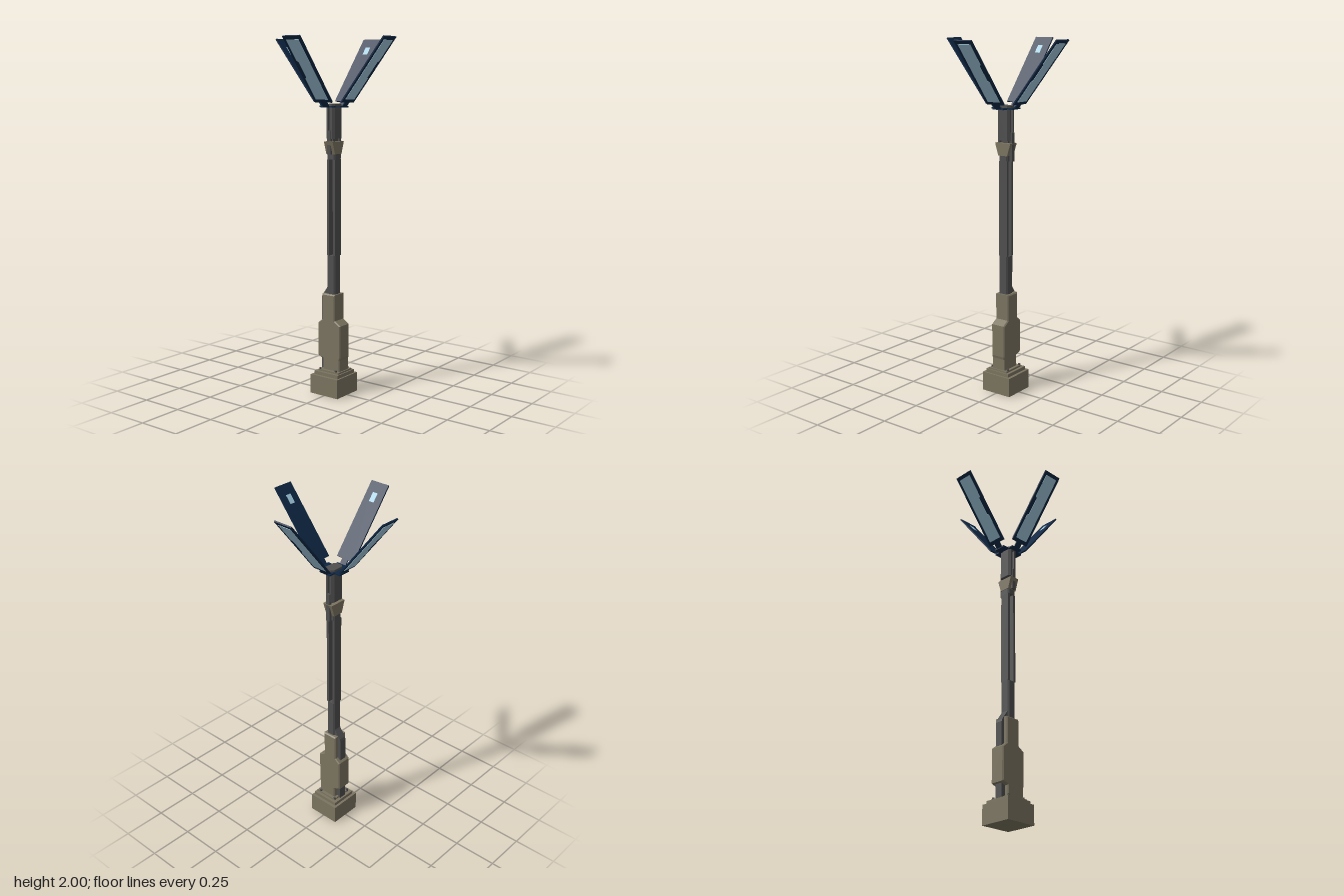
import * as THREE from 'three';

const mat = (name, color) => {
  const m = new THREE.MeshStandardMaterial({ color });
  m.name = name;
  return m;
};

export function createModel() {
  const olive = mat('olive housing', 0x7b7460);
  const grey = mat('dark grey metal', 0x4f4f4f);
  const navy = mat('navy panel', 0x0e2744);
  const glass = mat('pale blue lamp', 0xa3cde0);
  const root = new THREE.Group();
  root.name = 'lampPost';

  const add = (name, geometry, material, parent = root) => {
    const m = new THREE.Mesh(geometry, material);
    m.name = name;
    parent.add(m);
    return m;
  };
  // Box given by its minimum and maximum on each axis
  const box = (name, x0, x1, y0, y1, z0, z1, material, parent) => {
    const g = new THREE.BoxGeometry(x1 - x0, y1 - y0, z1 - z0);
    g.translate((x0 + x1) / 2, (y0 + y1) / 2, (z0 + z1) / 2);
    return add(name, g, material, parent);
  };
  const outline = pts => new THREE.Shape(pts.map(p => new THREE.Vector2(...p)));
  // Side profile in x and y, extruded along z with bevelled edges
  const slab = (name, pts, halfZ, bevel, material) => {
    const g = new THREE.ExtrudeGeometry(outline(pts), {
      depth: 2 * (halfZ - bevel), bevelEnabled: bevel > 0, bevelThickness: bevel,
      bevelSize: bevel, bevelOffset: -bevel, bevelSegments: 1
    });
    g.translate(0, 0, bevel - halfZ);
    return add(name, g, material);
  };
  // Upright chamfered column, with optional grooves in front and back
  const column = (name, x, z, c, y0, y1, groove, material) => {
    const front = [[x, z - c], [x - c, z]];
    if (groove) front.push([groove, z], [groove, z - 0.014], [-groove, z - 0.014], [-groove, z]);
    front.push([c - x, z], [-x, z - c]);
    const pts = [...front, ...front.map(([px, pz]) => [-px, -pz])];
    const g = new THREE.ExtrudeGeometry(outline(pts), { depth: y1 - y0, bevelEnabled: false });
    g.rotateX(-Math.PI / 2).translate(0, y0, 0);
    return add(name, g, material);
  };

  // Stepped base
  box('base', -0.095, 0.095, 0, 0.11, -0.095, 0.095, olive);
  box('baseStep', -0.08, 0.085, 0.11, 0.13, -0.078, 0.078, olive);
  box('bodyFoot', -0.06, 0.078, 0.13, 0.14, -0.062, 0.062, olive);
  for (const x of [-0.055, 0.055]) for (const z of [-0.055, 0.055]) {
    const bolt = add('baseBolt', new THREE.CylinderGeometry(0.007, 0.007, 0.02, 6), grey);
    bolt.position.set(x, 0.138, z);
  }

  // Housing with wide middle, and the conduit beside it
  slab('housing', [[-0.045, 0.13], [0.072, 0.13], [0.072, 0.205], [0.076, 0.22], [0.076, 0.405],
    [0.038, 0.43], [0.038, 0.58], [-0.052, 0.58], [-0.052, 0.43], [-0.082, 0.405],
    [-0.082, 0.215], [-0.045, 0.2]], 0.045, 0.006, olive);
  slab('conduit', [[-0.07, 0.11], [-0.03, 0.11], [-0.025, 0.625], [-0.03, 0.615],
    [-0.065, 0.565], [-0.07, 0.55]], 0.022, 0, grey);

  // Slotted pole
  column('lowerPole', 0.028, 0.03, 0.008, 0.56, 0.8, 0, grey);
  for (const s of [-1, 1]) {
    const [a, b] = s < 0 ? [-0.028, -0.013] : [0.013, 0.028];
    box('poleRail', a, b, 0.8, 1.34, -0.028, 0.028, grey);
  }
  column('slotHead', 0.028, 0.03, 0.008, 1.34, 1.43, 0, grey);

  // Flared collar: profile in z and y, extruded along x
  const collar = slab('collar', [[-0.03, 1.37], [0.03, 1.37], [0.052, 1.44], [-0.052, 1.44]],
    0.03, 0, olive);
  collar.rotation.y = Math.PI / 2;
  box('neck', -0.01, 0.01, 1.43, 1.46, -0.022, 0.022, grey);
  box('backBracket', -0.012, 0.012, 1.34, 1.5, -0.05, -0.034, grey);
  box('frontBracket', -0.012, 0.012, 1.37, 1.5, 0.034, 0.046, grey);

  // Upper column and cap
  column('upperColumn', 0.03, 0.042, 0.012, 1.455, 1.63, 0.008, grey);
  column('cap', 0.031, 0.044, 0.014, 1.625, 1.645, 0, grey);

  // Cross-shaped hub plate
  box('hubPlateX', -0.073, 0.073, 1.626, 1.634, -0.036, 0.036, navy);
  box('hubPlateZ', -0.037, 0.037, 1.6265, 1.6335, -0.071, 0.071, navy);

  // Four raised panels, each with a lamp pane below and a small light above
  const length = 0.441, half = 0.058;
  for (let i = 0; i < 4; i++) {
    const arm = new THREE.Group();
    arm.name = 'panelArm';
    arm.rotation.y = i * Math.PI / 2;
    root.add(arm);
    const hinge = box('hinge', 0, 0.045, -0.003, 0.003, -0.02, 0.02, navy, arm);
    hinge.position.set(0.069, 1.63, 0);
    hinge.rotation.z = 0.9;

    const panel = new THREE.Group();
    panel.name = 'panel';
    panel.position.set(0.09, 1.656, 0);
    panel.rotation.z = Math.atan2(0.345, 0.275);
    arm.add(panel);
    box('panelBoard', 0, length, -0.004, 0.004, -half, half, navy, panel);
    box('topLight', 0.33, 0.382, 0.003, 0.0055, -0.016, 0.016, glass, panel);

    // Pane with a notch in one long edge
    const s = i % 2 ? 1 : -1;
    const pts = [[0.022, -0.041], [0.42, -0.041], [0.42, 0.041], [0.285, 0.041], [0.275, 0.031],
      [0.175, 0.031], [0.165, 0.041], [0.022, 0.041]].map(([x, z]) => [x, z * s]);
    const g = new THREE.ExtrudeGeometry(outline(pts), { depth: 0.003, bevelEnabled: false });
    g.rotateX(Math.PI / 2).translate(0, -0.003, 0);
    add('lampPane', g, glass, panel);
  }
  return root;
}
